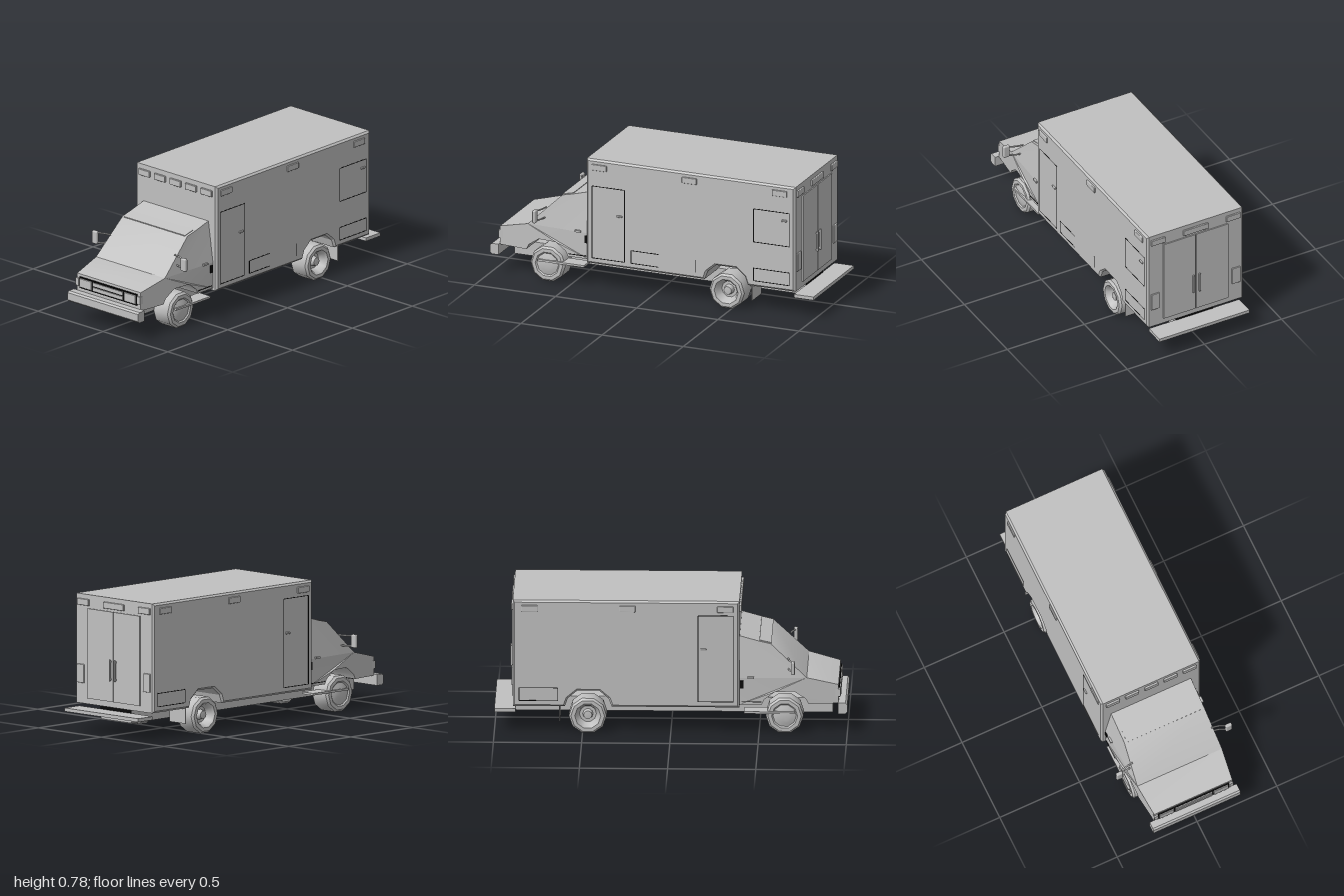
import * as THREE from 'three';
import { toCreasedNormals } from 'three/addons/utils/BufferGeometryUtils.js';
import { RoundedBoxGeometry } from 'three/addons/geometries/RoundedBoxGeometry.js';

const grey = new THREE.MeshStandardMaterial({ color: 0xc0c0c0 });
grey.name = 'body grey';
const black = new THREE.MeshStandardMaterial({ color: 0x0a0a0a });
black.name = 'trim black';

export function createModel() {
  const root = new THREE.Group();
  root.name = 'boxVan';

  const add = (name, geo, mat = grey) => {
    const m = new THREE.Mesh(geo, mat);
    m.name = name;
    root.add(m);
    return m;
  };
  // Box given by its limits
  const box = (name, x0, x1, y0, y1, z0, z1, mat) => {
    const g = new THREE.BoxGeometry(x1 - x0, y1 - y0, z1 - z0);
    g.translate((x0 + x1) / 2, (y0 + y1) / 2, (z0 + z1) / 2);
    return add(name, g, mat);
  };
  // Box with softened edges, for lamps and mirrors
  const softBox = (name, x0, x1, y0, y1, z0, z1, r = 0.004) => {
    const g = new RoundedBoxGeometry(x1 - x0, y1 - y0, z1 - z0, 2, r);
    g.translate((x0 + x1) / 2, (y0 + y1) / 2, (z0 + z1) / 2);
    return add(name, g);
  };
  // Limits in z for one flank; s = +1 or -1 chooses the side
  const flank = (s, z0, z1) => (s > 0 ? [z0, z1] : [-z1, -z0]);
  const sideBox = (name, s, x0, x1, y0, y1, z0, z1, mat) =>
    box(name, x0, x1, y0, y1, ...flank(s, z0, z1), mat);
  // Thin black outline of a door or locker on a flank
  const seam = (name, s, x0, x1, y0, y1) => {
    const t = 0.002;
    for (const x of [x0, x1]) sideBox(name, s, x - t, x + t, y0, y1, 0.31, 0.313, black);
    for (const y of [y0, y1]) sideBox(name, s, x0, x1, y - t, y + t, 0.31, 0.313, black);
  };
  // Side profile extruded across the vehicle
  const profile = (pts, half, bevel = 0) => {
    const shape = new THREE.Shape(pts.map(p => new THREE.Vector2(p[0], p[1])));
    const g = new THREE.ExtrudeGeometry(shape, {
      depth: 2 * (half - bevel), bevelEnabled: bevel > 0, bevelSize: bevel,
      bevelThickness: bevel, bevelOffset: -bevel, bevelSegments: 1,
    });
    g.translate(0, 0, -(half - bevel));
    return g;
  };
  // Scale the width of a unit-wide profile by a rule
  const shapeWidth = (g, rule) => {
    const p = g.attributes.position;
    for (let i = 0; i < p.count; i++) p.setZ(i, p.getZ(i) * rule(p.getX(i), p.getY(i)));
    return toCreasedNormals(g, 0.6);
  };

  // Cargo body with rear wheel arches
  add('cargoBody', profile([
    [-0.39, 0.157], [0.335, 0.157], [0.352, 0.205], [0.405, 0.25], [0.53, 0.25],
    [0.583, 0.205], [0.6, 0.157], [0.895, 0.157], [0.895, 0.784], [-0.39, 0.784],
  ], 0.312, 0.011));

  // Cab: lower body with front arches, then tapered upper part
  const lowerWidth = x => THREE.MathUtils.clamp(0.285 + (x + 0.6) * 0.115, 0.245, 0.285);
  add('cabLower', shapeWidth(profile([
    [-0.95, 0.17], [-0.78, 0.17], [-0.765, 0.2], [-0.7, 0.245], [-0.59, 0.245],
    [-0.53, 0.2], [-0.515, 0.17], [-0.388, 0.17], [-0.388, 0.325], [-0.77, 0.325], [-0.95, 0.28],
  ], 1), lowerWidth));
  add('cabUpper', shapeWidth(profile([
    [-0.77, 0.325], [-0.388, 0.325], [-0.388, 0.566], [-0.5, 0.535], [-0.565, 0.52],
  ], 1), (x, y) => THREE.MathUtils.lerp(lowerWidth(x), 0.25, Math.min(1, (y - 0.325) / 0.195))));

  // Band above the windscreen
  const visor = box('windscreenBand', -0.035, 0.035, -0.004, 0.004, -0.235, 0.235);
  visor.position.set(-0.535, 0.526, 0);
  visor.rotation.z = 0.23;

  // Nose: grille, headlights, bumper
  box('grilleBacking', -0.957, -0.945, 0.198, 0.265, -0.222, 0.222, black);
  for (const y of [0.217, 0.245]) box('grilleBar', -0.963, -0.95, y - 0.011, y + 0.011, -0.115, 0.115);
  for (const s of [1, -1]) {
    softBox('headlight', -0.964, -0.945, 0.205, 0.258, ...flank(s, 0.125, 0.215));
    sideBox('indicator', s, -0.96, -0.93, 0.21, 0.255, 0.224, 0.247);
  }
  add('frontBumper', profile([
    [-1, 0.125], [-0.99, 0.115], [-0.948, 0.115], [-0.948, 0.178], [-0.99, 0.178], [-1, 0.168],
  ], 0.272));
  box('noseUndertray', -0.94, -0.79, 0.166, 0.172, -0.23, 0.23, black);

  // Chassis and rear step
  box('chassis', -0.915, 0.88, 0.08, 0.165, -0.122, 0.122);
  box('chassisEnd', 0.876, 0.884, 0.137, 0.158, -0.121, 0.121, black);
  box('rearStep', 0.88, 1, 0.117, 0.137, -0.292, 0.292);

  // Wheels: domed discs in front, deep dishes behind
  const tyre = [[0, -0.06], [0.065, -0.06], [0.095, -0.065], [0.107, -0.053], [0.107, 0.053], [0.095, 0.065], [0.074, 0.065]];
  const discs = {
    frontWheel: [[0.066, 0.058], [0.045, 0.064], [0.03, 0.067], [0, 0.068]],
    rearWheel: [[0.062, 0.052], [0.048, 0.015], [0.03, 0.015], [0.024, 0.045], [0, 0.048]],
  };
  for (const [name, x, z] of [['frontWheel', -0.645, 0.215], ['rearWheel', 0.47, 0.245]]) {
    const pts = [...tyre, ...discs[name]].map(p => new THREE.Vector2(p[0], p[1]));
    const g = toCreasedNormals(new THREE.LatheGeometry(pts, 10, Math.PI / 10), 0.7);
    g.rotateX(Math.PI / 2);
    for (const s of [1, -1]) {
      const w = add(name, g);
      w.position.set(x, 0.102, s * z);
      if (s < 0) w.rotation.y = Math.PI;
    }
    const axle = add('axle', new THREE.CylinderGeometry(0.03, 0.03, 2 * z - 0.11, 10), black);
    axle.rotation.x = Math.PI / 2;
    axle.position.set(x, 0.118, 0);
  }

  for (const s of [1, -1]) {
    // Mudflaps and cab steps
    sideBox('mudflap', s, 0.626, 0.632, 0.07, 0.16, 0.18, 0.308);
    sideBox('cabStep', s, -0.7, -0.415, 0.117, 0.129, 0.2, 0.29);

    // Mirrors on bent arms
    softBox('mirror', -0.705, -0.683, 0.366, 0.443, ...flank(s, 0.322, 0.362), 0.008);
    for (const y of [0.375, 0.433]) {
      add('mirrorArm', new THREE.TubeGeometry(new THREE.CatmullRomCurve3([
        new THREE.Vector3(-0.665, y, s * 0.245), new THREE.Vector3(-0.675, y, s * 0.295),
        new THREE.Vector3(-0.692, y, s * 0.33),
      ]), 6, 0.005, 6));
    }

    // Cab door handle, hinge trim and sill line
    sideBox('cabDoorHandle', s, -0.472, -0.436, 0.324, 0.335, 0.275, 0.292);
    sideBox('cabTrim', s, -0.412, -0.392, 0.265, 0.31, 0.279, 0.288, black);
    sideBox('cabSill', s, -0.515, -0.4, 0.184, 0.188, 0.279, 0.287, black);

    // Side lamps along the top
    for (const x of [-0.31, 0.245, 0.8]) {
      softBox('sideLamp', x - 0.046, x + 0.046, 0.72, 0.756, ...flank(s, 0.308, 0.32));
    }

    // Side door and low rear locker
    seam('sideDoorSeam', s, -0.355, -0.155, 0.192, s > 0 ? 0.624 : 0.7);
    seam('rearLockerSeam', s, 0.64, 0.86, 0.192, 0.268);

    // Rear door, handle and lamps
    sideBox('rearDoor', s, 0.89, 0.902, 0.19, 0.705, 0.003, 0.209);
    softBox('rearDoorHandle', 0.905, 0.916, 0.309, 0.432, ...flank(s, 0.014, 0.025));
    for (const y of [0.32, 0.42]) sideBox('handleMount', s, 0.9, 0.907, y - 0.005, y + 0.005, 0.015, 0.024);
    softBox('rearTopLamp', 0.89, 0.905, 0.72, 0.757, ...flank(s, 0.197, 0.289));
    softBox('tailLamp', 0.89, 0.903, 0.274, 0.381, ...flank(s, 0.235, 0.289));
  }
  softBox('rearCentreLamp', 0.89, 0.905, 0.72, 0.757, -0.081, 0.081);

  // Lockers and handles that differ between the flanks
  seam('upperLockerSeam', 1, 0.64, 0.86, 0.425, 0.624);
  box('middleLockerSeam', -0.117, -0.113, 0.192, 0.268, 0.31, 0.313, black);
  box('middleLockerSeam', 0.278, 0.282, 0.192, 0.268, 0.31, 0.313, black);
  for (const y of [0.192, 0.268]) box('middleLockerSeam', -0.115, 0.055, y - 0.002, y + 0.002, 0.31, 0.313, black);
  for (const [s, x, y] of [[1, -0.185, 0.463], [1, 0.83, 0.578], [-1, -0.185, 0.503]]) {
    softBox('doorHandle', x - 0.017, x + 0.017, y - 0.006, y + 0.006, ...flank(s, 0.31, 0.321));
  }

  // Row of lamps above the cab
  for (let i = -2; i <= 2; i++) {
    softBox('frontLamp', -0.402, -0.385, 0.718, 0.755, i * 0.12 - 0.042, i * 0.12 + 0.042);
  }
  return root;
}
